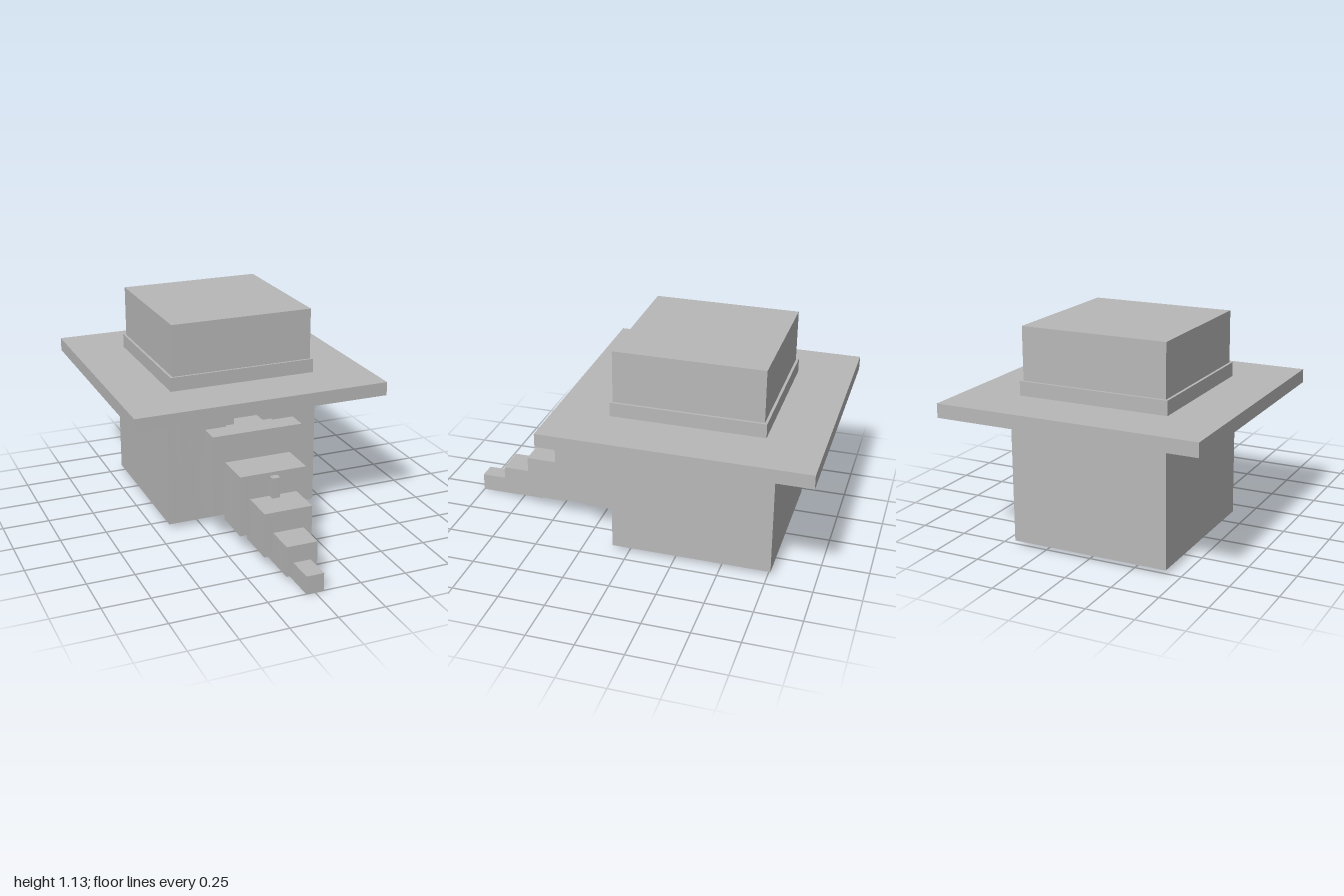
import * as THREE from 'three';

export function createModel() {
  const model = new THREE.Group();
  const grey = new THREE.MeshStandardMaterial({ color: 0xb8b8b8 });
  grey.name = 'plain grey';

  // Box given by its extents on each axis
  function block(name, [x0, x1], [y0, y1], [z0, z1]) {
    const mesh = new THREE.Mesh(new THREE.BoxGeometry(x1 - x0, y1 - y0, z1 - z0), grey);
    mesh.position.set((x0 + x1) / 2, (y0 + y1) / 2, (z0 + z1) / 2);
    mesh.name = name;
    model.add(mesh);
  }
  const centred = (name, half, y, z) => block(name, [-half, half], y, z);

  // Head and square hat
  centred('head', 0.425, [0.025, 0.71], [-0.765, 0.09]);
  centred('hatBrim', 0.695, [0.71, 0.783], [-1, 0.393]);
  centred('hatBand', 0.404, [0.783, 0.858], [-0.706, 0.1]);
  centred('hatCrown', 0.39, [0.858, 1.135], [-0.692, 0.088]);

  // Eyes: a large plate with a smaller one in front
  for (const [side, s] of [['left', 1], ['right', -1]]) {
    const span = (a, b) => (s > 0 ? [a, b] : [-b, -a]);
    block(side + 'Eye', span(0.082, 0.38), [0.411, 0.709], [0.09, 0.166]);
    block(side + 'Pupil', span(0.132, 0.332), [0.46, 0.66], [0.166, 0.183]);
  }

  // Stepped trunk: half width, bottom, top, back, front
  [
    [0.25, 0.133, 0.58, 0.09, 0.295],
    [0.183, 0.1, 0.43, 0.28, 0.498],
    [0.13, 0.06, 0.3, 0.465, 0.685],
    [0.083, 0.025, 0.188, 0.633, 0.85],
    [0.047, 0, 0.096, 0.782, 1],
  ].forEach(([half, y0, y1, z0, z1], i) =>
    centred('noseSegment' + (i + 1), half, [y0, y1], [z0, z1]));

  // Small peg standing on the nose
  centred('nosePeg', 0.021, [0.3, 0.411], [0.498, 0.535]);

  return model;
}
